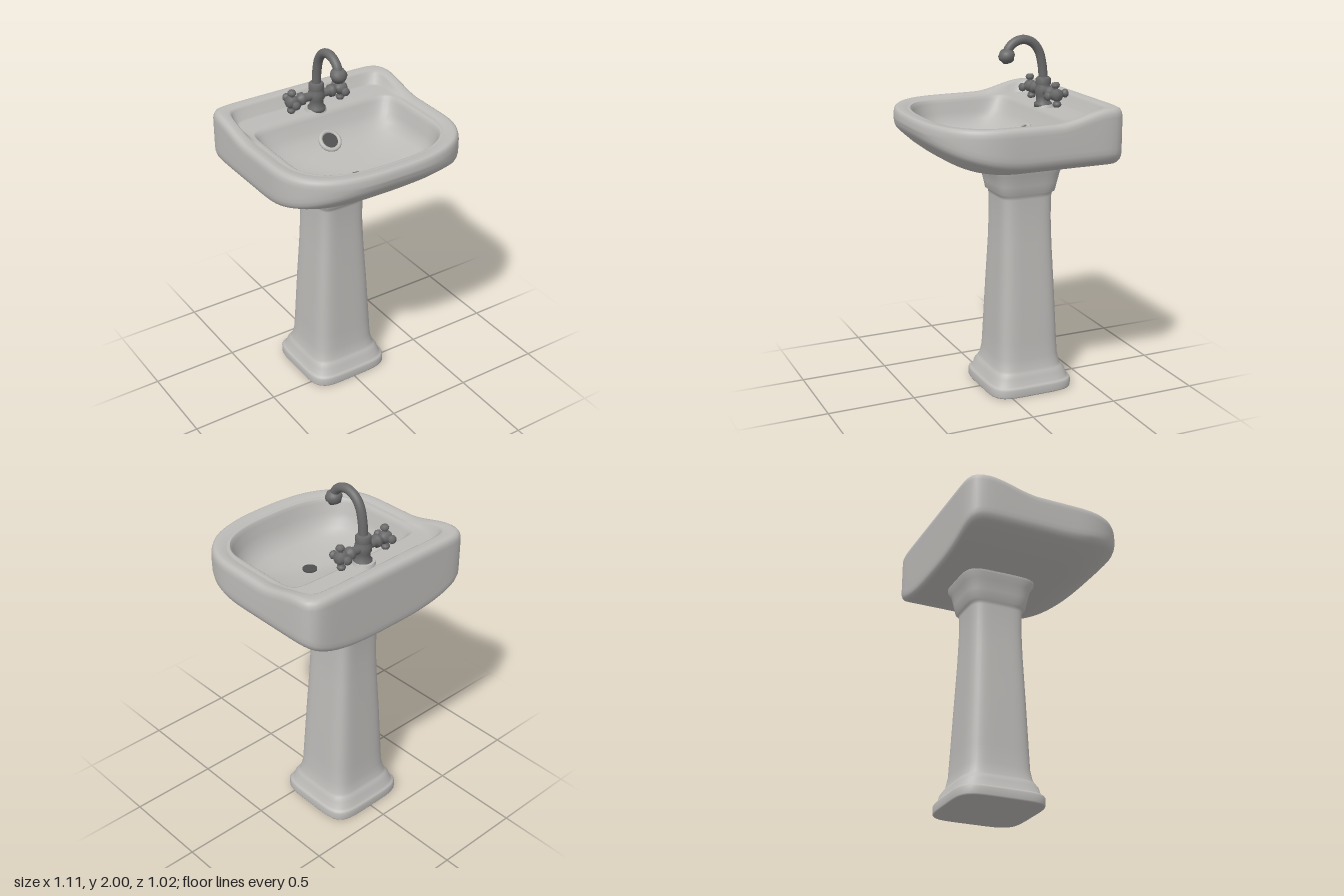
import * as THREE from 'three';

const ceramic = new THREE.MeshStandardMaterial({ color: 0xbdbbb8 });
ceramic.name = 'ceramic';
const metal = new THREE.MeshStandardMaterial({ color: 0x6a6a6a });
metal.name = 'metal';
const dark = new THREE.MeshStandardMaterial({ color: 0x505050 });
dark.name = 'dark grille';

// Closed smooth skin through rings of N points, with both ends capped
function skin(rings) {
  const N = rings[0].length, pos = [], idx = [];
  rings.forEach(r => r.forEach(p => pos.push(...p)));
  const centre = r => {
    const c = [0, 1, 2].map(k => r.reduce((s, p) => s + p[k], 0) / N);
    pos.push(...c);
    return pos.length / 3 - 1;
  };
  const first = centre(rings[0]), last = centre(rings[rings.length - 1]);
  for (let i = 0; i < N; i++) {
    const j = (i + 1) % N, top = (rings.length - 1) * N;
    for (let k = 0; k < rings.length - 1; k++) {
      const a = k * N + i, b = k * N + j;
      idx.push(a, a + N, b, b, a + N, b + N);
    }
    idx.push(first, i, j, last, top + j, top + i);
  }
  const g = new THREE.BufferGeometry();
  g.setAttribute('position', new THREE.Float32BufferAttribute(pos, 3));
  g.setIndex(idx);
  g.computeVertexNormals();
  return g;
}

// Superelliptic ring: separate exponents for the back and front halves
function ring(N, hw, zb, zf, nBack, nFront, split, yAt) {
  const zc = zb + (zf - zb) * split, pts = [];
  for (let i = 0; i < N; i++) {
    const a = i / N * Math.PI * 2, c = Math.cos(a), s = Math.sin(a);
    const n = s < 0 ? nBack : nFront, d = s < 0 ? zc - zb : zf - zc;
    const r = (Math.abs(c / hw) ** n + Math.abs(s / d) ** n) ** (-1 / n);
    const z = zc + r * s, x = r * c * (1 - 0.02 * z);
    pts.push([x, yAt(x, z), z]);
  }
  return pts;
}

const rimY = z => 1.61 + 0.058 * THREE.MathUtils.smoothstep(-z, 0.1, 0.42);
const bellyY = (x, z) =>
  1.3 + 0.11 * Math.abs(x / 0.56) ** 3 + 0.23 * Math.max(0, z / 0.51) ** 2.7;

function basinGeometry() {
  const rings = [], N = 160;
  const add = (hw, zb, zf, n, y) => rings.push(ring(N, hw, zb, zf, n, 2.6, 0.6, y));
  const shell = (s, y) => add(0.553 * s, 0.1 - 0.612 * s, 0.1 + 0.412 * s, 14, y);
  // Underside
  for (const s of [0.1, 0.3, 0.5, 0.65, 0.78, 0.88, 0.94, 0.97]) shell(s, bellyY);
  shell(0.99, (x, z) => bellyY(x, z) + 0.012);
  shell(0.998, (x, z) => bellyY(x, z) + 0.03);
  // Outer wall and rounded rim
  shell(1, (x, z) => Math.min(bellyY(x, z) + 0.055, rimY(z) - 0.055));
  for (const [s, d] of [[1, 0.045], [0.995, 0.025], [0.985, 0.009], [0.965, 0.001], [0.94, 0]])
    shell(s, (x, z) => rimY(z) - d);
  add(0.49, -0.44, 0.45, 14, (x, z) => rimY(z) - 0.002);
  add(0.48, -0.425, 0.442, 14, (x, z) => rimY(z) - 0.012);
  // Tap deck and bowl
  for (const [hw, zb, zf, n, y] of [
    [0.468, -0.405, 0.435, 14, 1.602], [0.455, -0.39, 0.43, 14, 1.6],
    [0.445, -0.262, 0.423, 12, 1.6], [0.438, -0.25, 0.417, 12, 1.595],
    [0.43, -0.24, 0.41, 11, 1.575], [0.415, -0.215, 0.395, 9, 1.52],
    [0.4, -0.185, 0.38, 7, 1.48], [0.37, -0.14, 0.355, 6, 1.443],
    [0.31, -0.08, 0.32, 5, 1.412], [0.22, -0.01, 0.255, 4, 1.392],
    [0.12, 0.05, 0.19, 3, 1.38], [0.045, 0.09, 0.15, 2, 1.374],
  ]) add(hw, zb, zf, n, () => y);
  return skin(rings);
}

// Pedestal sections: height, half width, half depth
function pedestalGeometry() {
  return skin([
    [0, 0.235, 0.235], [0, 0.246, 0.246], [0.008, 0.25, 0.25], [0.045, 0.25, 0.25],
    [0.056, 0.243, 0.243], [0.064, 0.23, 0.23], [0.1, 0.222, 0.222], [0.125, 0.208, 0.205],
    [0.14, 0.2, 0.195], [0.2, 0.187, 0.183], [0.3, 0.182, 0.178], [0.6, 0.165, 0.165],
    [0.85, 0.148, 0.154], [1.0, 0.141, 0.15], [1.12, 0.14, 0.152], [1.14, 0.142, 0.156],
    [1.15, 0.152, 0.17], [1.2, 0.162, 0.18], [1.26, 0.172, 0.194], [1.29, 0.186, 0.212],
    [1.34, 0.19, 0.215],
  ].map(([y, w, d]) => ring(80, w, -0.15 - d, -0.15 + d, 5, 5, 0.5, () => y)));
}

export function createModel() {
  const model = new THREE.Group();
  const add = (parent, name, geo, mat, x = 0, y = 0, z = 0) => {
    const m = new THREE.Mesh(geo, mat);
    m.name = name;
    m.position.set(x, y, z);
    parent.add(m);
    return m;
  };
  const lathe = (pts, seg = 28) =>
    new THREE.LatheGeometry(pts.map(p => new THREE.Vector2(...p)), seg);

  add(model, 'basin', basinGeometry(), ceramic);
  add(model, 'pedestal', pedestalGeometry(), ceramic);

  // Drain and overflow
  add(model, 'drain', new THREE.CylinderGeometry(0.04, 0.04, 0.008, 32), dark, 0, 1.378, 0.12);
  const overflow = new THREE.Group();
  overflow.name = 'overflow';
  overflow.position.set(0, 1.468, -0.155);
  overflow.rotation.x = 0.68;
  add(overflow, 'overflowGrille', new THREE.CylinderGeometry(0.05, 0.05, 0.008, 32), dark);
  add(overflow, 'overflowRing', new THREE.TorusGeometry(0.055, 0.012, 10, 32), ceramic).rotation.x = Math.PI / 2;
  model.add(overflow);

  // Tap body and swan-neck spout
  const tap = new THREE.Group();
  tap.name = 'tap';
  tap.position.set(0, 0, -0.29);
  model.add(tap);
  add(tap, 'tapSeat', new THREE.CylinderGeometry(0.055, 0.062, 0.02, 32), ceramic, 0, 1.605, -0.01);
  add(tap, 'tapBody', lathe([[0, 1.6], [0.05, 1.6], [0.05, 1.62], [0.038, 1.63], [0.038, 1.66],
    [0.046, 1.675], [0.046, 1.705], [0.038, 1.72], [0.042, 1.725], [0.042, 1.755],
    [0.034, 1.765], [0, 1.765]]), metal);
  const path = new THREE.CatmullRomCurve3([[1.75, 0], [1.84, 0.01], [1.91, 0.03], [1.955, 0.067],
    [1.975, 0.12], [1.965, 0.17], [1.935, 0.207], [1.9, 0.222]]
    .map(([y, z]) => new THREE.Vector3(0, y, z)));
  add(tap, 'spout', new THREE.TubeGeometry(path, 48, 0.025, 18), metal);
  add(tap, 'nozzle', lathe([[0, -0.035], [0.03, -0.035], [0.036, -0.02], [0.045, -0.008],
    [0.045, 0.01], [0.036, 0.022], [0.026, 0.035], [0, 0.035]]), metal, 0, 1.892, 0.222).rotation.x = 0.35;

  // Mirrored arms with cross handles
  for (const side of [-1, 1]) {
    const arm = new THREE.Group();
    arm.name = side > 0 ? 'leftValve' : 'rightValve';
    arm.position.y = 1.69;
    arm.rotation.z = -side * Math.PI / 2;
    tap.add(arm);
    add(arm, 'valveArm', lathe([[0.024, 0.02], [0.024, 0.075], [0.035, 0.085], [0.035, 0.105],
      [0.022, 0.115], [0.022, 0.13], [0.034, 0.14], [0.034, 0.175], [0.022, 0.188], [0, 0.19]]), metal);
    for (let k = 0; k < 4; k++) {
      const prong = new THREE.Group();
      prong.name = 'handleProng';
      prong.position.y = 0.157;
      prong.rotation.y = k * Math.PI / 2 + side * 0.1;
      arm.add(prong);
      const stem = add(prong, 'prongStem', lathe([[0.015, 0], [0.013, 0.035], [0.022, 0.045],
        [0.024, 0.055], [0.018, 0.066], [0, 0.07]], 18), metal);
      stem.rotation.x = Math.PI / 2;
    }
  }
  return model;
}
